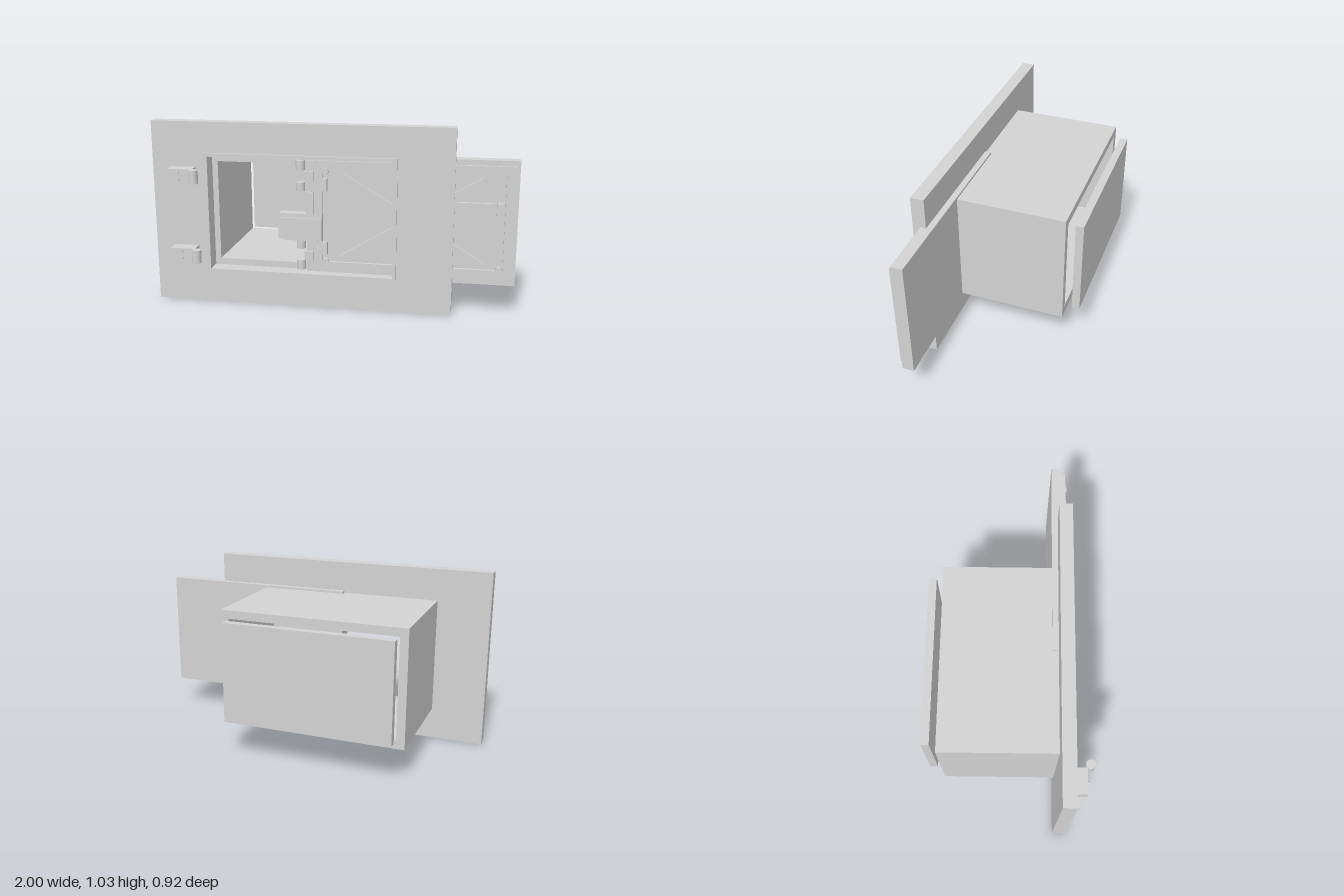
import * as THREE from 'three';

const grey = new THREE.MeshStandardMaterial({ color: 0xd3d3d3 });
grey.name = 'light grey';

export function createModel() {
  const root = new THREE.Group();
  root.name = 'hatchAssembly';

  const group = (name) => {
    const g = new THREE.Group();
    g.name = name;
    root.add(g);
    return g;
  };
  const add = (parent, name, geometry) => {
    const m = new THREE.Mesh(geometry, grey);
    m.name = name;
    parent.add(m);
    return m;
  };
  // Block given by its limits on each axis
  const block = (parent, name, x0, x1, y0, y1, z0, z1) =>
    add(parent, name, new THREE.BoxGeometry(x1 - x0, y1 - y0, z1 - z0)
      .translate((x0 + x1) / 2, (y0 + y1) / 2, (z0 + z1) / 2));
  // Rectangular ring: outer and inner are [x0, x1, y0, y1]
  const trace = (path, [x0, x1, y0, y1]) => {
    path.moveTo(x0, y0);
    path.lineTo(x1, y0);
    path.lineTo(x1, y1);
    path.lineTo(x0, y1);
    path.closePath();
    return path;
  };
  const ring = (parent, name, outer, inner, z0, z1) => {
    const shape = trace(new THREE.Shape(), outer);
    shape.holes.push(trace(new THREE.Path(), inner));
    return add(parent, name, new THREE.ExtrudeGeometry(shape, { depth: z1 - z0, bevelEnabled: false })
      .translate(0, 0, z0));
  };
  const pin = (parent, name, x, y, z, r, h) =>
    add(parent, name, new THREE.CylinderGeometry(r, r, h, 24).translate(x, y, z));
  const stud = (parent, name, x, y, z, r, h) =>
    add(parent, name, new THREE.CylinderGeometry(r, r, h, 16).rotateX(Math.PI / 2).translate(x, y, z));

  // Wall plate, opening trim and the box behind it
  const body = group('body');
  ring(body, 'wallPlate', [-1, 0.667, 0, 1.028], [-0.7, 0.362, 0.177, 0.857], 0.268, 0.342);
  ring(body, 'openingTrim', [-0.703, 0.365, 0.174, 0.858], [-0.682, 0.347, 0.195, 0.838], 0.268, 0.356);
  ring(body, 'boxWalls', [-0.697, 0.36, 0.184, 0.845], [-0.65, 0.314, 0.232, 0.798], -0.375, 0.268);
  block(body, 'rearPanel', -0.648, 0.312, 0.23, 0.797, -0.46, -0.415);

  // Sliding door with a shallow framed pocket
  const door = group('slidingDoor');
  block(door, 'doorSlab', -0.135, 1, 0.174, 0.857, 0.233, 0.299);
  ring(door, 'doorRim', [-0.135, 0.982, 0.203, 0.828], [-0.048, 0.932, 0.26, 0.775], 0.299, 0.316);
  block(door, 'lockCover', 0.5, 0.922, 0.427, 0.628, 0.299, 0.316);
  block(door, 'lockCatch', 0.888, 0.928, 0.568, 0.632, 0.299, 0.335);

  // Diagonal braces and corner studs, mirrored about the door centre
  for (const sx of [-1, 1]) {
    for (const sy of [-1, 1]) {
      const brace = add(door, 'diagonalBrace', new THREE.BoxGeometry(0.42, 0.036, 0.024));
      brace.position.set(0.44 + sx * 0.205, 0.517 + sy * 0.127, 0.312);
      brace.rotation.z = sx * sy * 0.545;
      stud(door, 'cornerStud', sx < 0 ? -0.03 : 0.912, 0.517 + sy * 0.255, 0.312, 0.018, 0.026);
    }
  }

  // Knuckles and straps on the door's free edge
  const edge = group('edgeHardware');
  for (const sy of [-1, 1]) {
    const at = (d) => 0.517 + sy * d;
    const strap = (name, x0, x1, a, b, z0, z1) =>
      block(edge, name, x0, x1, Math.min(at(a), at(b)), Math.max(at(a), at(b)), z0, z1);
    pin(edge, 'outerKnuckle', -0.17, at(0.282), 0.3, 0.025, 0.054);
    pin(edge, 'innerKnuckle', -0.17, at(0.164), 0.3, 0.025, 0.048);
    strap('knuckleStrap', -0.146, -0.095, 0.2, 0.25, 0.295, 0.33);
    strap('rimTab', -0.05, -0.02, 0.143, 0.215, 0.299, 0.324);
  }
  block(edge, 'latchPlate', -0.135, -0.095, 0.53, 0.655, 0.29, 0.33);

  // Pull handle reaching over the opening
  const handle = group('handle');
  block(handle, 'handleTop', -0.29, -0.047, 0.507, 0.53, 0.27, 0.325);
  block(handle, 'handleGrip', -0.29, -0.047, 0.387, 0.507, 0.285, 0.335);
  block(handle, 'handleLip', -0.262, -0.072, 0.377, 0.387, 0.29, 0.325);

  // Two hinge halves on the wall plate
  for (const y of [0.29, 0.74]) {
    const hinge = group('wallHinge');
    block(hinge, 'hingeBlock', -0.893, -0.752, y - 0.036, y + 0.036, 0.34, 0.417);
    pin(hinge, 'hingePin', -0.735, y, 0.434, 0.026, 0.074);
    for (const d of [-0.02, 0.02]) stud(hinge, 'hingeScrew', -0.83, y + d, 0.419, 0.011, 0.012);
  }
  return root;
}
